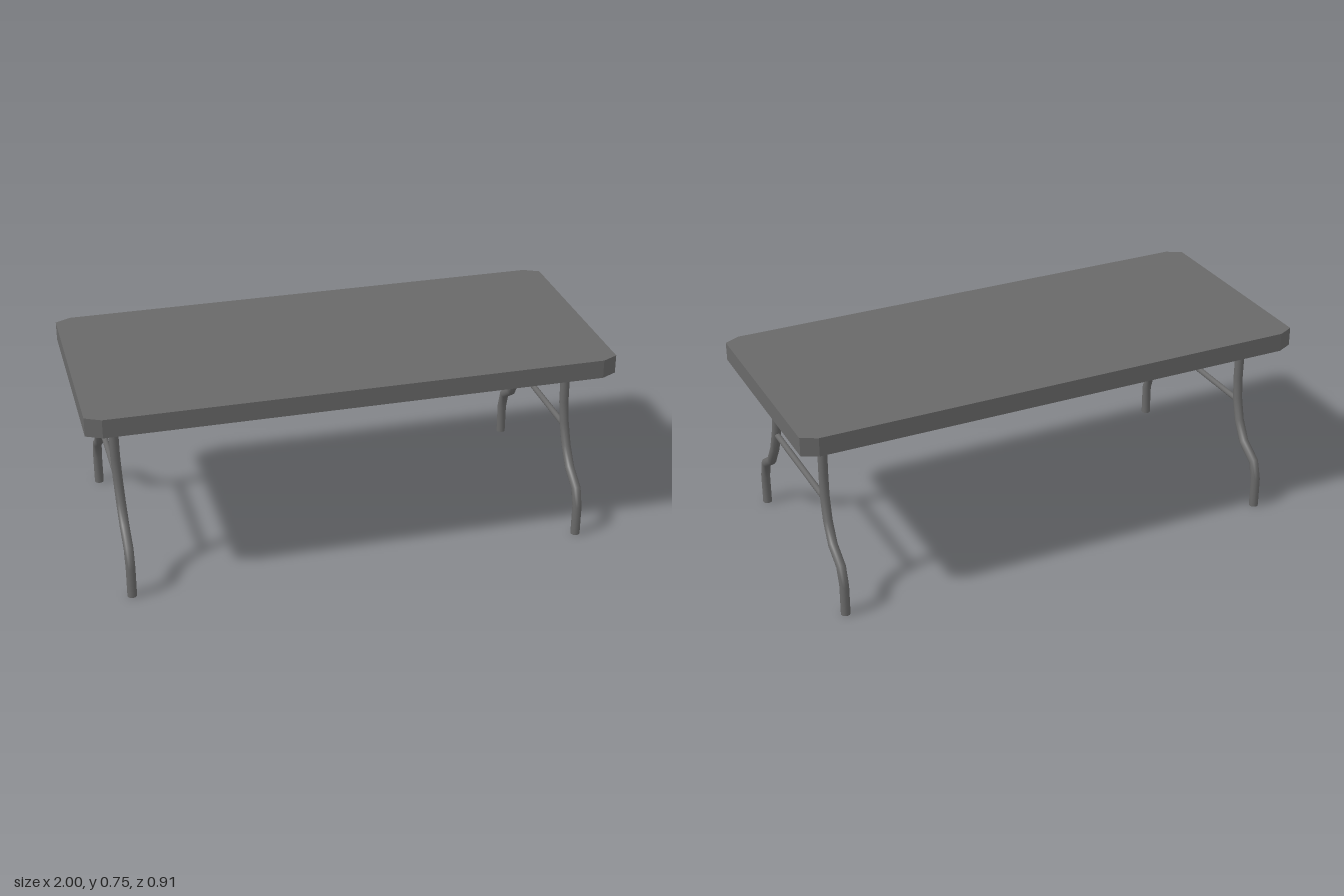
import * as THREE from 'three';

const gray = new THREE.MeshStandardMaterial({ color: 0x696969 });
gray.name = 'grey';

// Leg centre line, top to bottom: [y, distance from middle in z, x drift]
const LEG_PATH = [
  [0.68, 0.253, -0.010], [0.49, 0.254, -0.008], [0.405, 0.264, -0.005],
  [0.318, 0.291, -0.002], [0.241, 0.338, 0], [0.19, 0.415, 0],
  [0.12, 0.437, 0], [0, 0.437, 0],
];
const LEG_RADIUS = 0.018;
const SIDES = 12;

function part(name, geometry) {
  const mesh = new THREE.Mesh(geometry, gray);
  mesh.name = name;
  return mesh;
}

// Sweeps a round section along a bent path, mitred at each bend
function bentTube(points, radius) {
  const positions = [], index = [];
  const last = points.length - 1;
  points.forEach((p, i) => {
    const before = p.clone().sub(points[Math.max(i - 1, 0)]).setX(0).normalize();
    const after = points[Math.min(i + 1, last)].clone().sub(p).setX(0).normalize();
    const t = before.clone().add(after).normalize();
    const mitre = radius / t.dot(i < last ? after : before);
    for (let j = 0; j < SIDES; j++) {
      const a = (j / SIDES) * Math.PI * 2;
      const s = Math.sin(a) * mitre;
      positions.push(p.x + Math.cos(a) * radius, p.y + t.z * s, p.z - t.y * s);
      if (i < last) {
        const k = (j + 1) % SIDES, r = i * SIDES, n = r + SIDES;
        index.push(r + j, r + k, n + j, r + k, n + k, n + j);
      }
    }
  });
  const geometry = new THREE.BufferGeometry();
  geometry.setAttribute('position', new THREE.Float32BufferAttribute(positions, 3));
  geometry.setIndex(index);
  geometry.computeVertexNormals();
  return geometry;
}

function createLeg(side) {
  const leg = new THREE.Group();
  leg.name = 'leg';
  const points = LEG_PATH.map(([y, z, x]) => new THREE.Vector3(x, y, z * side));
  leg.add(part('legTube', bentTube(points, LEG_RADIUS)));
  // Closed underside of the foot
  const sole = part('footCap', new THREE.CircleGeometry(LEG_RADIUS, SIDES).rotateX(Math.PI / 2));
  sole.position.copy(points[points.length - 1]);
  leg.add(sole);
  return leg;
}

function createLegFrame(x) {
  const frame = new THREE.Group();
  frame.name = 'legFrame';
  frame.add(createLeg(1), createLeg(-1));
  // Brace between the two legs
  const brace = part('crossbar', new THREE.CylinderGeometry(0.0115, 0.0115, 0.52, SIDES).rotateX(Math.PI / 2));
  brace.position.set(-0.005, 0.393, 0);
  frame.add(brace);
  frame.position.x = x;
  return frame;
}

// Thick slab with clipped corners
function createTop() {
  const w = 1, d = 0.44, cx = 0.06, cz = 0.03;
  const outline = [
    [w, -d + cz], [w, d - cz], [w - cx, d], [-w + cx, d],
    [-w, d - cz], [-w, -d + cz], [-w + cx, -d], [w - cx, -d],
  ].map(([x, z]) => new THREE.Vector2(x, z));
  const geometry = new THREE.ExtrudeGeometry(new THREE.Shape(outline), { depth: 0.072, bevelEnabled: false });
  geometry.rotateX(-Math.PI / 2);
  const top = part('tableTop', geometry);
  top.position.set(0, 0.675, 0.002);
  return top;
}

export function createModel() {
  const table = new THREE.Group();
  table.name = 'foldingTable';
  table.add(createTop(), createLegFrame(-0.872), createLegFrame(0.877));
  return table;
}
